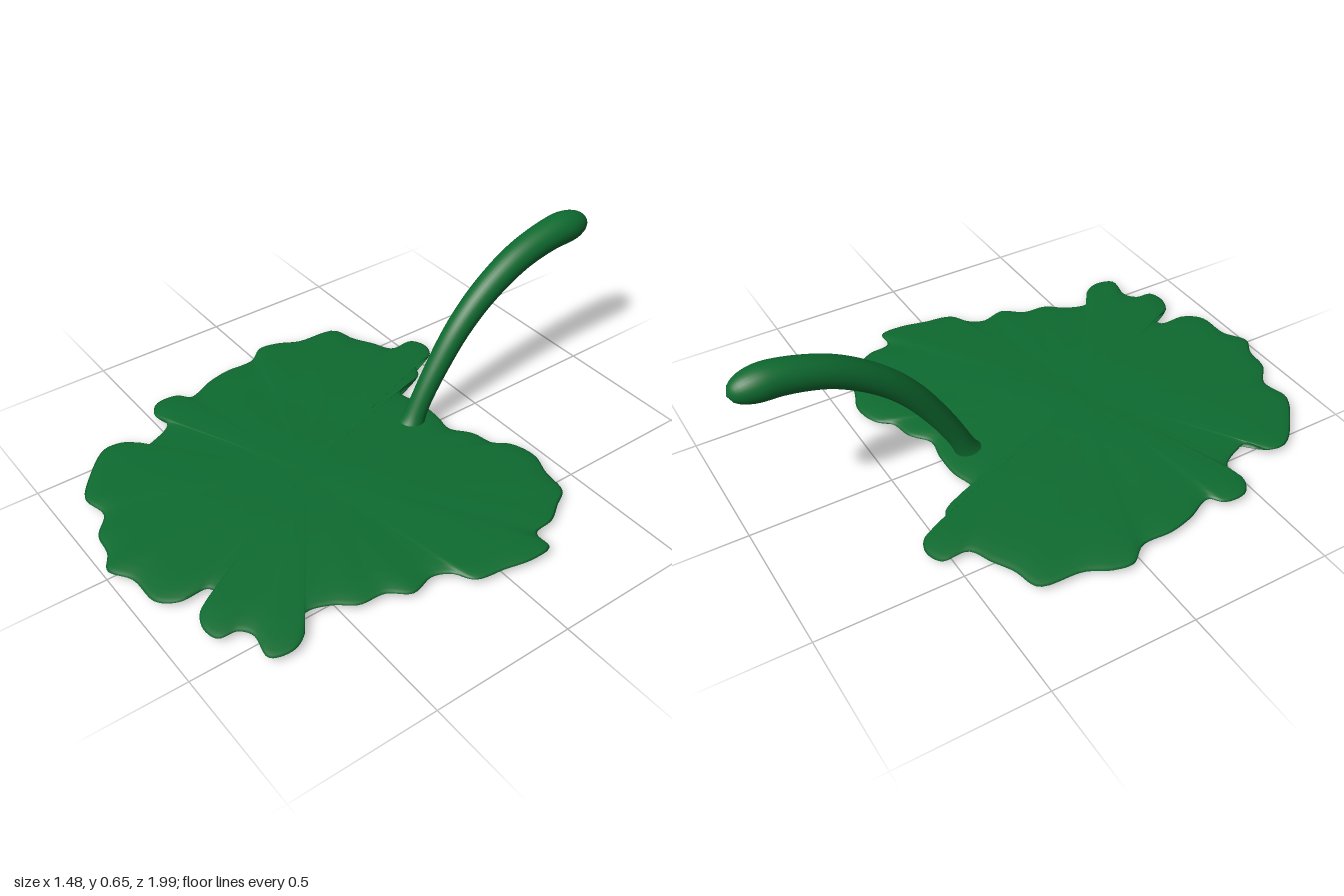
import * as THREE from 'three';
import { mergeVertices } from 'three/addons/utils/BufferGeometryUtils.js';

const material = new THREE.MeshStandardMaterial({ color: 0x0e6b30, side: THREE.DoubleSide });

// Ragged leaf margin as x, z pairs, starting at the notch by the stalk
const MARGIN = [
  0, -0.32, 0.08, -0.31, 0.15, -0.36, 0.23, -0.38, 0.28, -0.43, 0.37, -0.45, 0.46, -0.42, 0.56, -0.4,
  0.6, -0.34, 0.645, -0.27, 0.66, -0.19, 0.73, -0.18, 0.74, -0.1, 0.72, 0, 0.7, 0.1, 0.64, 0.14,
  0.61, 0.2, 0.63, 0.29, 0.58, 0.36, 0.57, 0.45, 0.52, 0.52, 0.5, 0.6, 0.57, 0.65, 0.6, 0.71,
  0.58, 0.78, 0.48, 0.77, 0.44, 0.8, 0.43, 0.86, 0.37, 0.875, 0.3, 0.84, 0.28, 0.77, 0.24, 0.78,
  0.235, 0.88, 0.19, 0.935, 0.07, 0.945, -0.01, 0.99, -0.08, 0.955, -0.17, 0.94, -0.25, 0.88, -0.35, 0.895,
  -0.45, 0.83, -0.55, 0.72, -0.54, 0.65, -0.48, 0.61, -0.49, 0.56, -0.54, 0.48, -0.615, 0.49, -0.67, 0.45,
  -0.67, 0.37, -0.63, 0.33, -0.67, 0.23, -0.69, 0.14, -0.69, 0.03, -0.74, -0.04, -0.73, -0.11, -0.69, -0.19,
  -0.67, -0.34, -0.58, -0.37, -0.51, -0.41, -0.435, -0.45, -0.43, -0.54, -0.37, -0.565, -0.31, -0.535, -0.3, -0.46,
  -0.235, -0.42, -0.21, -0.36, -0.19, -0.3, -0.1, -0.32,
];

// Closed leaf pad: rings run from the top centre over the rim to the bottom centre
function leafGeometry() {
  const points = [];
  for (let i = 0; i < MARGIN.length; i += 2) points.push(new THREE.Vector3(MARGIN[i], 0, MARGIN[i + 1]));
  const samples = 360;
  const rim = new THREE.CatmullRomCurve3(points, true).getPoints(samples).slice(0, samples);
  const scales = [0, 0.12, 0.25, 0.38, 0.5, 0.62, 0.74, 0.84, 0.92, 0.97, 0.99];
  const rings = [
    ...scales.map((s) => [s, 1]),
    [1, 0],
    ...scales.slice().reverse().map((s) => [s, -1]),
  ];
  const cx = 0, cz = 0.25;
  const positions = [], index = [];
  for (const [s, side] of rings) {
    for (const p of rim) {
      const x = cx + (p.x - cx) * s;
      const z = cz + (p.z - cz) * s;
      const round = Math.sqrt(1 - s * s);
      let y = 0.017;
      if (side > 0) {
        // Gently domed top with faint waves
        const wave = 0.003 * Math.sin(9 * x + 5 * z) * Math.sin(11 * z - 3 * x + 1);
        y += 0.01 * Math.min(1, round * 2.5) + (0.019 + wave) * (1 - s * s);
      } else if (side < 0) {
        y -= 0.017 * Math.min(1, round * 1.6);
      }
      positions.push(x, y, z);
    }
  }
  for (let r = 0; r < rings.length - 1; r++) {
    for (let i = 0; i < samples; i++) {
      const j = (i + 1) % samples;
      const a = r * samples + i, b = r * samples + j;
      const c = a + samples, d = b + samples;
      if (r > 0) index.push(a, b, c);
      if (r < rings.length - 2) index.push(b, d, c);
    }
  }
  const geometry = new THREE.BufferGeometry();
  geometry.setAttribute('position', new THREE.Float32BufferAttribute(positions, 3));
  geometry.setIndex(index);
  // The margin runs clockwise seen from above, so turn the faces outward
  for (let i = 0; i < index.length; i += 3) {
    geometry.index.setX(i + 1, index[i + 2]);
    geometry.index.setX(i + 2, index[i + 1]);
  }
  const merged = mergeVertices(geometry, 1e-5);
  merged.computeVertexNormals();
  return merged;
}

// Stalk radius: flared foot, slow swelling upward, blunt rounded tip
function stalkRadius(t) {
  const base = 0.034 + 0.028 * t + 0.014 * Math.exp(-t * 28);
  const cap = Math.max(0, (t - 0.88) / 0.12);
  return Math.max(base * Math.sqrt(Math.max(0, 1 - cap * cap)), 0.0005);
}

function stalkGeometry() {
  const path = new THREE.CatmullRomCurve3([
    [-0.22, 0.015], [-0.265, 0.11], [-0.33, 0.22], [-0.42, 0.345], [-0.53, 0.45],
    [-0.68, 0.54], [-0.84, 0.583], [-0.93, 0.585], [-1, 0.578],
  ].map(([z, y]) => new THREE.Vector3(-0.025, y, z)));
  const rows = 80, sides = 28;
  const tube = new THREE.TubeGeometry(path, rows, 1, sides, false);
  const position = tube.attributes.position;
  const v = new THREE.Vector3();
  for (let i = 0; i <= rows; i++) {
    // Pack the last rows closely toward the tip
    const t = i / rows;
    const centre = path.getPointAt(t);
    for (let j = 0; j <= sides; j++) {
      const k = i * (sides + 1) + j;
      v.fromBufferAttribute(position, k).sub(centre);
      v.multiplyScalar(stalkRadius(t)).add(centre);
      position.setXYZ(k, v.x, v.y, v.z);
    }
  }
  tube.deleteAttribute('uv');
  tube.deleteAttribute('normal');
  const merged = mergeVertices(tube, 1e-5);
  merged.computeVertexNormals();
  return merged;
}

export function createModel() {
  const group = new THREE.Group();
  group.name = 'lilyPad';
  const parts = { leaf: leafGeometry(), stalk: stalkGeometry() };
  for (const [name, geometry] of Object.entries(parts)) {
    const mesh = new THREE.Mesh(geometry, material);
    mesh.name = name;
    group.add(mesh);
  }
  return group;
}
